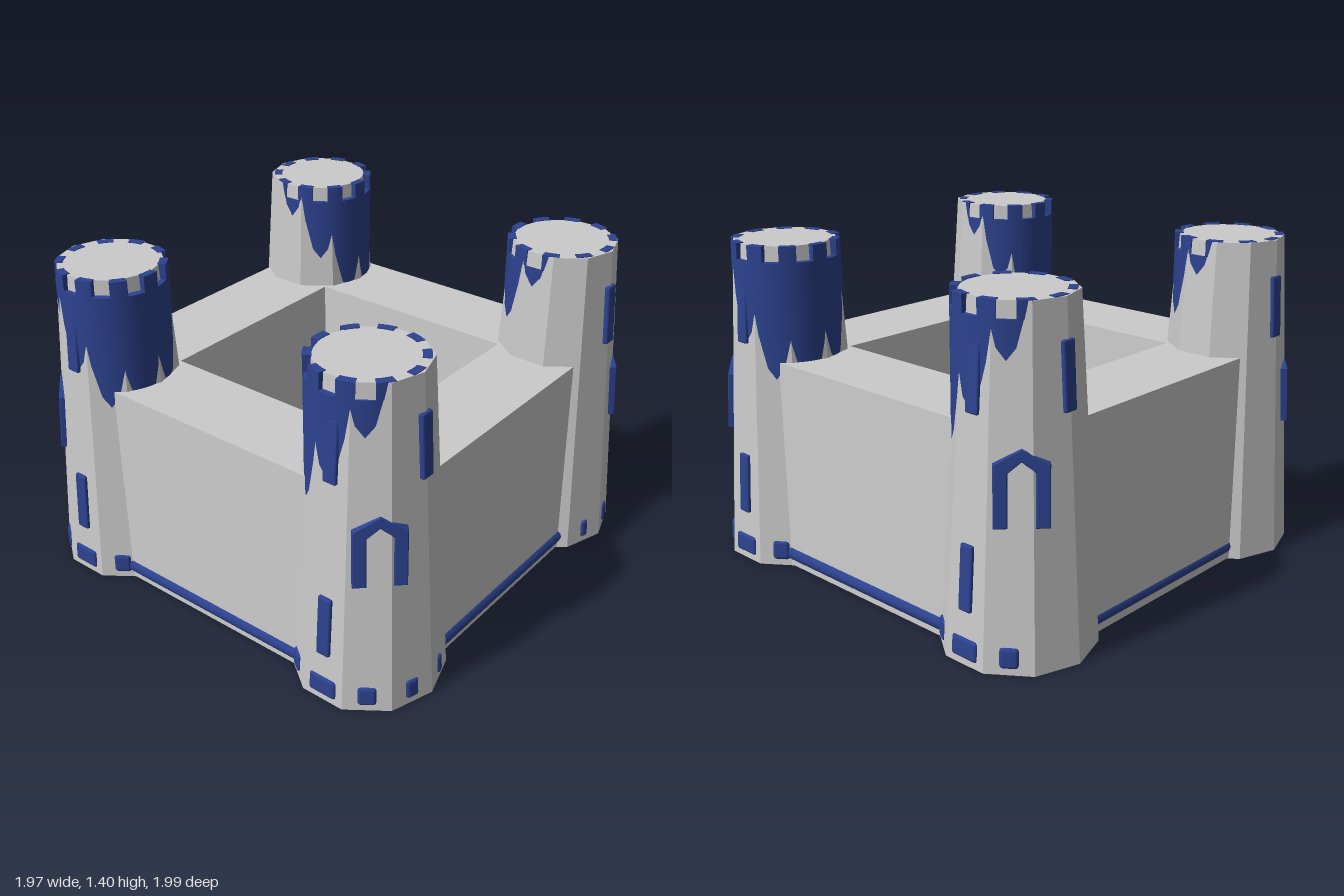
import * as THREE from 'three';
import { RoundedBoxGeometry } from 'three/addons/geometries/RoundedBoxGeometry.js';

const C = 0.68;                       // tower and wall centre line
const H = 1.4, R0 = 0.315, R1 = 0.226; // tower height, base and top radius
const TILT = Math.atan((R0 - R1) * 0.951 / H);
const radiusAt = y => R0 + (R1 - R0) * y / H;

export function createModel() {
  const model = new THREE.Group();
  const stone = new THREE.MeshStandardMaterial({ color: 0xcccccc, flatShading: true });
  const blue = new THREE.MeshStandardMaterial({ color: 0x2c428f });
  const blueFlat = new THREE.MeshStandardMaterial({ color: 0x2c428f, flatShading: true });

  const add = (parent, name, geo, mat, x = 0, y = 0, z = 0) => {
    const m = new THREE.Mesh(geo, mat);
    m.name = name;
    m.position.set(x, y, z);
    parent.add(m);
    return m;
  };

  // Wall: a box narrowed towards the top
  const wallGeo = new THREE.BoxGeometry(2 * C, 0.905, 0.43);
  const p = wallGeo.attributes.position;
  for (let i = 0; i < p.count; i++) if (p.getY(i) > 0) p.setZ(i, p.getZ(i) * 0.185 / 0.215);
  wallGeo.computeVertexNormals();
  const barGeo = new THREE.CylinderGeometry(0.037, 0.037, 1.0, 12).rotateZ(Math.PI / 2);

  for (let i = 0; i < 4; i++) {
    const side = new THREE.Group();
    side.name = ['frontWall', 'leftWall', 'backWall', 'rightWall'][i];
    side.rotation.y = i * Math.PI / 2;
    add(side, 'wall', wallGeo, stone, 0, 0.4575, C);
    add(side, 'baseBar', barGeo, blue, 0, 0.055, i === 2 ? 0.862 : 0.87);
    model.add(side);
  }

  // Pointed door frame
  const door = new THREE.Shape([
    [-0.1, 0], [-0.055, 0], [-0.055, 0.205], [0, 0.25], [0.055, 0.205], [0.055, 0],
    [0.1, 0], [0.1, 0.235], [0, 0.29], [-0.1, 0.235],
  ].map(([x, y]) => new THREE.Vector2(x, y)));
  const doorGeo = new THREE.ExtrudeGeometry(door, {
    depth: 0.07, bevelEnabled: true, bevelThickness: 0.005, bevelSize: 0.004, bevelSegments: 1,
  }).translate(0, -0.145, -0.075);

  // Battlement tooth: an arc of the crown ring, 18 degrees wide
  const CR = 0.232, a = Math.PI / 20;
  const arc = new THREE.Shape();
  arc.absarc(0, 0, CR, -a, a, false);
  arc.absarc(0, 0, CR - 0.035, a, -a, true);
  arc.closePath();
  const toothGeo = new THREE.ExtrudeGeometry(arc, { depth: 0.07, bevelEnabled: false, curveSegments: 3 })
    .rotateX(-Math.PI / 2);

  const towerGeo = new THREE.CylinderGeometry(R1, R0, H, 10);
  const crownGeo = new THREE.CylinderGeometry(CR, CR, 0.8, 40);
  const windowGeo = new RoundedBoxGeometry(0.062, 0.265, 0.05, 2, 0.008);

  for (const sx of [-1, 1]) for (const sz of [-1, 1]) {
    const tower = new THREE.Group();
    tower.name = (sz > 0 ? 'front' : 'back') + (sx > 0 ? 'Left' : 'Right') + 'Tower';
    tower.position.set(sx * C, 0, sz * C);
    model.add(tower);
    add(tower, 'shaft', towerGeo, stone, 0, H / 2, 0);

    // Crown sleeve sunk into the tapered shaft, so it shows as points on the facets
    const crown = new THREE.Group();
    crown.name = 'crown';
    crown.position.set(sx * 0.008, 0, -sz * 0.018);
    tower.add(crown);
    add(crown, 'sleeve', crownGeo, blue, 0, 1.335 - 0.4, 0);
    for (let k = 0; k < 10; k++)
      add(crown, 'tooth', toothGeo, blueFlat, 0, 1.333, 0).rotation.y = (k + 0.5) * Math.PI / 5;

    // Places a piece at an angle around the tower, leaning with its side
    const place = (name, geo, mat, angle, y, r) => {
      const turn = new THREE.Group();
      turn.name = name + 'Mount';
      turn.rotation.y = angle;
      tower.add(turn);
      add(turn, name, geo, mat, 0, y, r).rotation.x = -TILT;
    };
    const outX = sx * Math.PI / 2;
    const outZ = sz > 0 ? 0 : Math.PI;

    // Windows: two on the outer side, one on the front or back
    for (const y of [0.35, 1.11])
      place('window', windowGeo, blue, outX, y, radiusAt(y) * 0.951 - 0.011);
    place('window', windowGeo, blue, outZ, 1.115, radiusAt(1.11) - (sz > 0 ? 0.015 : 0.02));

    // Door frame on the outer corner
    place('doorFrame', doorGeo, blueFlat, Math.atan2(sx, sz), 0.725, 0.267);

    // Footing stones on the outer facets
    for (let k = -2; k <= 3; k++) {
      if (sz < 0 && k > 1) continue;
      const w = [0.13, 0.075, 0.06, 0.04][Math.abs(k)];
      const geo = new RoundedBoxGeometry(w, 0.085, 0.06, 2, 0.015);
      place('footingStone', geo, blue, outX - sx * sz * k * Math.PI / 5, 0.067, radiusAt(0.067) * 0.951 - 0.02);
    }
  }
  return model;
}
